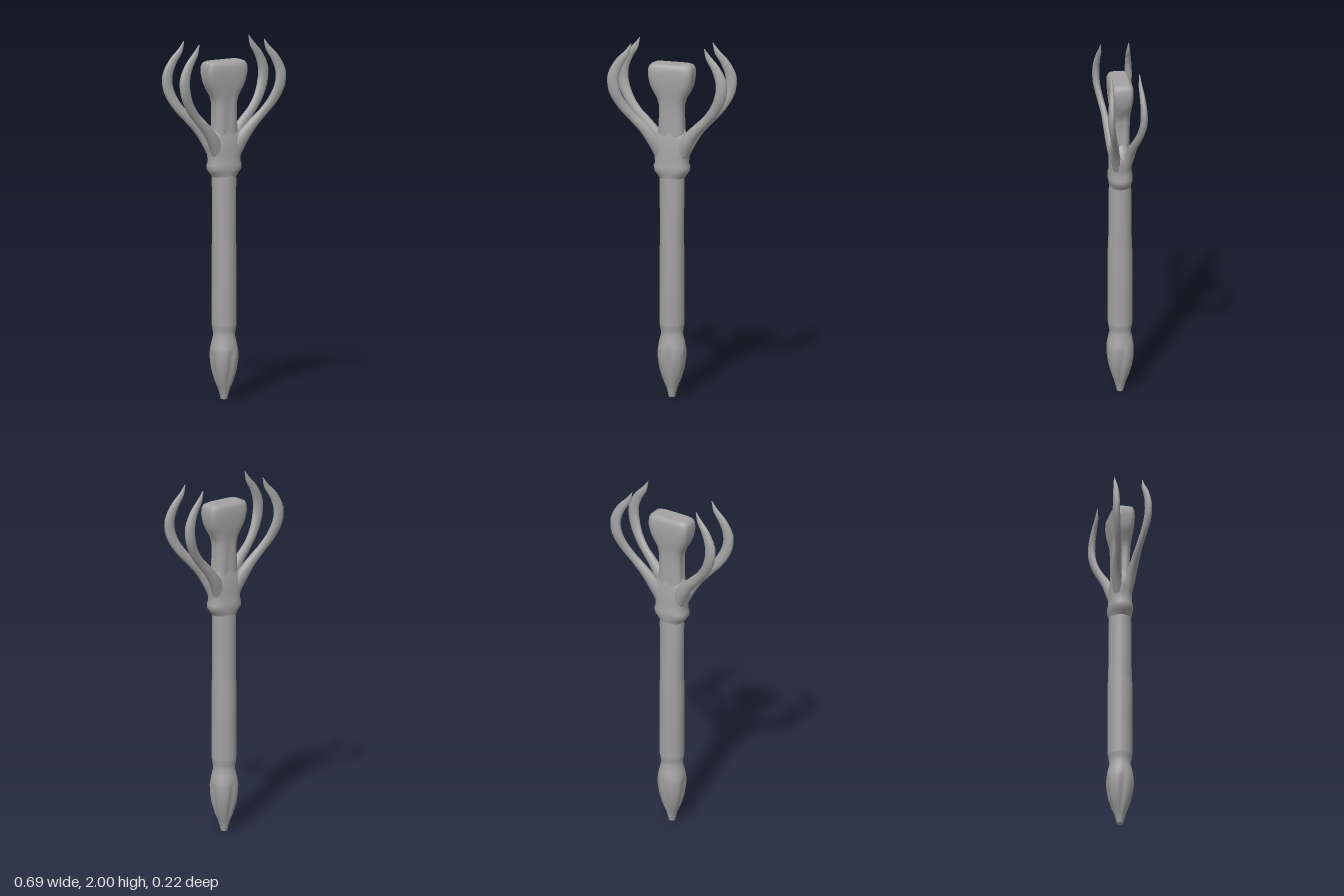
import * as THREE from 'three';

const SIDES = 32;
const stone = new THREE.MeshStandardMaterial({ color: 0xa3a3a3 });
stone.name = 'grey stone';

// Skin a list of closed rings (counter-clockwise seen against the path direction), capped at both ends
function loft(name, rings, flip = false) {
  const n = rings[0].length, pos = [], idx = [];
  const tri = (a, b, c) => (flip ? idx.push(a, c, b) : idx.push(a, b, c));
  rings.forEach(r => r.forEach(p => pos.push(...p)));
  for (let i = 0; i < rings.length - 1; i++) {
    for (let j = 0; j < n; j++) {
      const a = i * n + j, b = i * n + (j + 1) % n;
      tri(a, a + n, b);
      tri(b, a + n, b + n);
    }
  }
  // caps with their own vertices so the rims stay crisp
  [rings[0], rings[rings.length - 1]].forEach((r, end) => {
    const start = pos.length / 3;
    r.forEach(p => pos.push(...p));
    const mid = [0, 1, 2].map(k => r.reduce((s, p) => s + p[k], 0) / n);
    pos.push(...mid);
    for (let j = 0; j < n; j++) {
      const a = start + j, b = start + (j + 1) % n;
      end ? tri(a, start + n, b) : tri(a, b, start + n);
    }
  });
  const g = new THREE.BufferGeometry();
  g.setAttribute('position', new THREE.Float32BufferAttribute(pos, 3));
  g.setIndex(idx);
  g.computeVertexNormals();
  const m = new THREE.Mesh(g, stone);
  m.name = name;
  return m;
}

// Horizontal super-ellipse section: height, half width, half depth, squareness, groove depth
function section([y, rx, rz, e = 2, groove = 0]) {
  return Array.from({ length: SIDES }, (_, j) => {
    const a = (j / SIDES) * Math.PI * 2, c = Math.cos(a), s = Math.sin(a);
    const k = 1 - groove * Math.pow(Math.max(0, Math.cos(4 * a)), 3);
    return [
      k * rx * Math.sign(c) * Math.pow(Math.abs(c), 2 / e), y,
      k * rz * Math.sign(s) * Math.pow(Math.abs(s), 2 / e),
    ];
  });
}
const column = (name, rows) => loft(name, rows.map(section));

// One claw: a curved path with separate in-plane width and depth
function claw(name, sx, sz) {
  const path = new THREE.CatmullRomCurve3([
    [0.05, 1.36, 0.02], [0.095, 1.45, 0.038], [0.15, 1.52, 0.048], [0.215, 1.585, 0.058],
    [0.268, 1.65, 0.073], [0.306, 1.73, 0.088], [0.312, 1.81, 0.09], [0.278, 1.89, 0.085],
    [0.236, 1.945, 0.08], [0.211, 1.998, 0.079],
  ].map(p => new THREE.Vector3(...p)));
  const size = [
    [0.04, 0.03], [0.038, 0.027], [0.03, 0.023], [0.026, 0.018],
    [0.029, 0.018], [0.033, 0.02], [0.033, 0.019], [0.025, 0.015],
    [0.017, 0.01], [0.002, 0.002],
  ];
  const steps = 27, rings = [];
  for (let i = 0; i <= steps; i++) {
    const t = i / steps, f = t * (size.length - 1), k = Math.min(Math.floor(f), size.length - 2);
    const [w, d] = [0, 1].map(q => THREE.MathUtils.lerp(size[k][q], size[k + 1][q], f - k));
    const p = path.getPoint(t), tan = path.getTangent(t);
    const len = Math.hypot(tan.x, tan.y), nx = tan.y / len, ny = -tan.x / len;
    rings.push(Array.from({ length: 10 }, (_, j) => {
      const a = (j / 10) * Math.PI * 2, c = Math.cos(a) * w, s = Math.sin(a) * d;
      return [sx * (p.x + nx * c), p.y + ny * c, sz * (p.z + s)];
    }));
  }
  return loft(name, rings, sx * sz < 0);
}

export function createModel() {
  const model = new THREE.Group();
  model.name = 'clawedSceptre';

  // Bulbous foot with four leaf grooves
  model.add(column('pommel', [
    [0, 0.018, 0.018], [0.03, 0.025, 0.025], [0.06, 0.034, 0.034, 2, 0.05],
    [0.1, 0.052, 0.05, 2, 0.16], [0.16, 0.07, 0.068, 2, 0.18], [0.22, 0.079, 0.077, 2, 0.16],
    [0.265, 0.08, 0.077, 2, 0.1], [0.285, 0.077, 0.074, 2, 0.02], [0.32, 0.07, 0.068],
    [0.36, 0.06, 0.058], [0.385, 0.064, 0.063], [0.41, 0.068, 0.067],
  ]));

  // Long straight handle
  model.add(column('shaft', [
    [0.39, 0.064, 0.064], [0.42, 0.069, 0.068], [0.85, 0.068, 0.068],
    [0.9, 0.066, 0.065], [1.21, 0.07, 0.062], [1.28, 0.07, 0.06],
  ]));

  // Flared socket that carries the claws
  model.add(column('socket', [
    [1.24, 0.072, 0.06], [1.262, 0.088, 0.064], [1.28, 0.1, 0.067, 2.4], [1.305, 0.102, 0.068, 2.4],
    [1.325, 0.095, 0.063, 2.4], [1.36, 0.098, 0.062, 2.5], [1.4, 0.108, 0.06, 2.5],
    [1.44, 0.112, 0.056, 2.4], [1.48, 0.095, 0.05, 2.3], [1.51, 0.07, 0.045],
  ]));

  // Grooved neck widening to a blocky head
  model.add(column('head', [
    [1.42, 0.082, 0.05, 2.5, 0.05], [1.5, 0.077, 0.052, 2.5, 0.1], [1.58, 0.073, 0.052, 2.5, 0.12],
    [1.65, 0.073, 0.054, 2.5, 0.1], [1.69, 0.084, 0.056, 2.7, 0.05], [1.73, 0.108, 0.061, 3],
    [1.77, 0.122, 0.064, 4], [1.82, 0.129, 0.066, 5], [1.855, 0.128, 0.064, 5],
    [1.875, 0.12, 0.056, 5], [1.884, 0.1, 0.042, 5],
  ]));

  // Four mirrored claws
  for (const sx of [1, -1]) {
    for (const sz of [1, -1]) {
      model.add(claw(`${sz > 0 ? 'front' : 'back'}${sx > 0 ? 'Left' : 'Right'}Claw`, sx, sz));
    }
  }
  return model;
}
